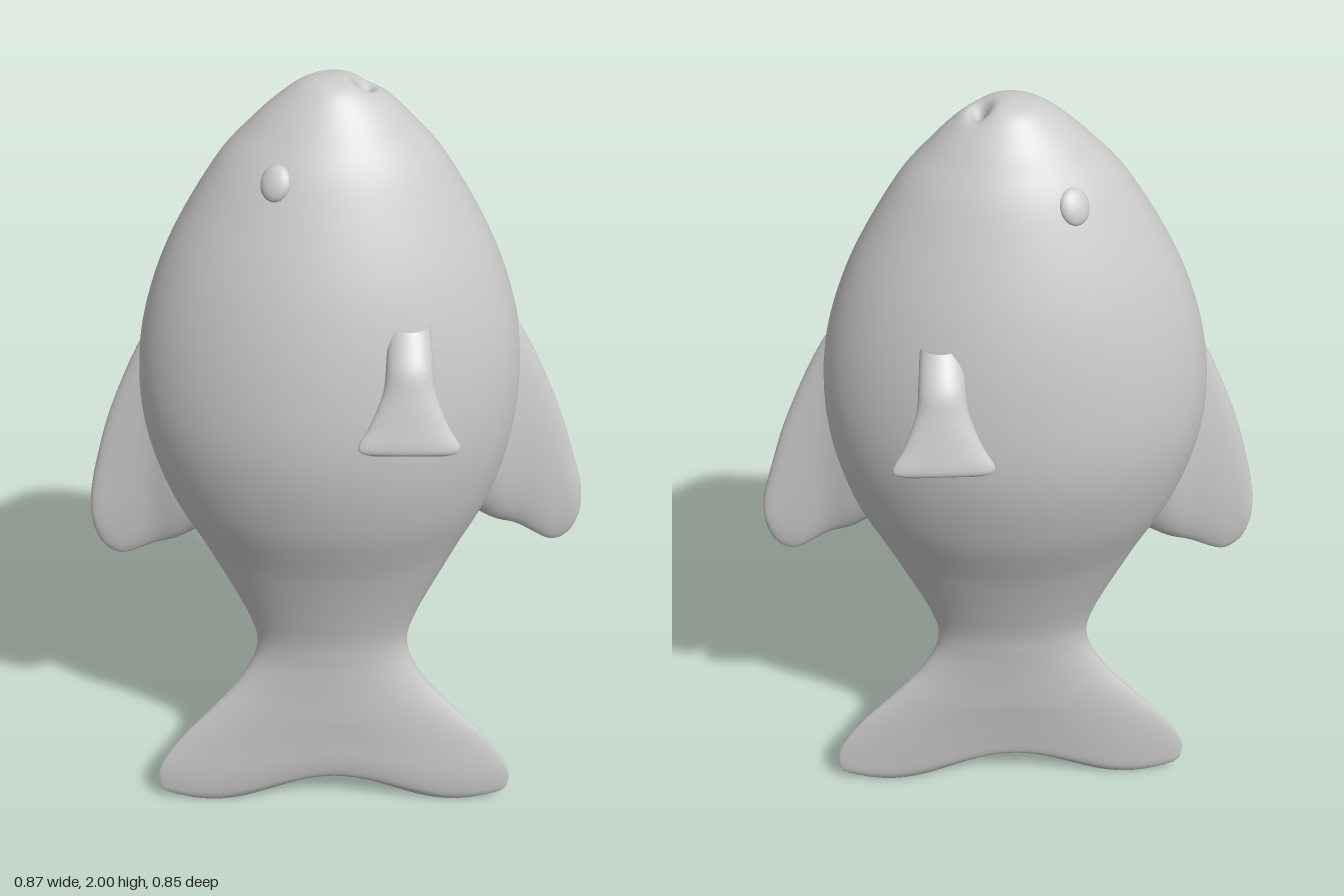
import * as THREE from 'three';
import { mergeVertices } from 'three/addons/utils/BufferGeometryUtils.js';

const material = new THREE.MeshStandardMaterial({ color: 0xcccccc, roughness: 0.7 });

// Catmull-Rom resampling of rows of numbers
function resample(rows, steps) {
  const out = [];
  const last = rows.length - 1;
  for (let i = 0; i <= steps; i++) {
    const f = (i / steps) * last;
    const k = Math.min(Math.floor(f), last - 1);
    const t = f - k;
    const [p0, p1, p2, p3] = [k - 1, k, k + 1, k + 2].map((n) => rows[Math.min(Math.max(n, 0), last)]);
    out.push(p1.map((v, c) => {
      const m1 = (p2[c] - p0[c]) / 2, m2 = (p3[c] - v) / 2, d = p2[c] - v;
      return v + t * (m1 + t * (3 * d - 2 * m1 - m2 + t * (m1 + m2 - 2 * d)));
    }));
  }
  return out;
}

// Smooth closed skin over resampled sections; place(row, cos, sin) gives each point
function loft(name, rows, steps, sides, place) {
  const positions = [], index = [];
  resample(rows, steps).forEach((row, i) => {
    for (let j = 0; j < sides; j++) {
      const angle = (j / sides) * Math.PI * 2;
      positions.push(...place(row, Math.cos(angle), Math.sin(angle)));
      if (i === steps) continue;
      const a = i * sides + j, b = i * sides + ((j + 1) % sides);
      index.push(a, b, a + sides, b, b + sides, a + sides);
    }
  });
  let geometry = new THREE.BufferGeometry();
  geometry.setAttribute('position', new THREE.Float32BufferAttribute(positions, 3));
  geometry.setIndex(index);
  geometry = mergeVertices(geometry, 1e-5);
  geometry.computeVertexNormals();
  const mesh = new THREE.Mesh(geometry, material);
  mesh.name = name;
  return mesh;
}

// Body and tail: height, half depth, half width, depth offset, width offset
const bodyRows = [
  [2.0, 0, 0, -0.01, -0.02],
  [1.99, 0.06, 0.055, -0.01, -0.02],
  [1.96, 0.11, 0.09, -0.01, -0.02],
  [1.9, 0.175, 0.135, -0.012, -0.02],
  [1.8, 0.26, 0.19, -0.015, -0.018],
  [1.6, 0.37, 0.262, -0.018, -0.014],
  [1.4, 0.43, 0.297, -0.02, -0.01],
  [1.2, 0.437, 0.298, -0.022, -0.006],
  [1.0, 0.39, 0.25, -0.02, 0],
  [0.8, 0.295, 0.165, -0.018, 0.006],
  [0.6, 0.205, 0.095, -0.018, 0.012],
  [0.5, 0.19, 0.075, -0.018, 0.014],
  [0.4, 0.235, 0.063, -0.018, 0.018],
  [0.3, 0.315, 0.053, -0.016, 0.022],
  [0.2, 0.395, 0.042, -0.015, 0.026],
  [0.1, 0.452, 0.032, -0.015, 0.03],
  [0.03, 0.458, 0.02, -0.015, 0.03],
  [0, 0.44, 0, -0.015, 0.03],
];

function bodyPoint([h, a, b, offX, offZ], c, s) {
  const x = offX + a * c;
  const z = offZ + b * s * (1 - 0.08 * c * c);
  let y = h;
  // notched trailing edge of the tail
  if (h < 0.3) {
    const edge = 0.04 + 0.04 * Math.cos((Math.PI * c) / 0.72);
    y = edge + (h / 0.3) * (0.3 - edge);
  }
  // small mouth hollow, wider than it is deep
  if (h > 1.85) y -= 0.035 * Math.exp(-(((x - 0.055) / 0.022) ** 2) - ((z + 0.028) / 0.032) ** 2);
  return [x, y, z];
}

// Upright fins: distance out, leading height, trailing height, half thickness
const dorsalRows = [
  [0.25, 1.5, 0.92, 0.12], [0.38, 1.46, 0.835, 0.075], [0.45, 1.38, 0.81, 0.045],
  [0.53, 1.2, 0.78, 0.028], [0.575, 1.05, 0.81, 0.02], [0.594, 0.96, 0.86, 0.012], [0.598, 0.91, 0.91, 0],
];
const ventralRows = [
  [0.25, 1.5, 0.97, 0.12], [0.36, 1.47, 0.89, 0.075], [0.43, 1.38, 0.865, 0.045],
  [0.51, 1.2, 0.82, 0.028], [0.555, 1.06, 0.84, 0.02], [0.577, 0.98, 0.89, 0.012], [0.581, 0.93, 0.93, 0],
];
const uprightFin = (name, rows, side) => loft(name, rows, 36, 40, ([d, top, bottom, t], c, s) =>
  [side * d, (top + bottom) / 2 + ((top - bottom) / 2) * c, side * t * s]);

// Paddle fins: height, distance out, half chord, half thickness
const paddleRows = [
  [1.53, 0.22, 0.045, 0.045], [1.47, 0.28, 0.05, 0.038], [1.41, 0.312, 0.057, 0.026],
  [1.34, 0.335, 0.085, 0.02], [1.3, 0.347, 0.109, 0.016], [1.283, 0.352, 0.105, 0.01], [1.275, 0.354, 0.075, 0],
];

export function createModel() {
  const fish = new THREE.Group();
  fish.name = 'fish';
  fish.add(loft('body', bodyRows, 170, 96, bodyPoint));
  fish.add(uprightFin('dorsalFin', dorsalRows, -1), uprightFin('ventralFin', ventralRows, 1));

  for (const side of [-1, 1]) {
    const label = side > 0 ? 'right' : 'left';
    fish.add(loft(label + 'PectoralFin', paddleRows, 30, 32, ([y, out, chord, t], c, s) =>
      [0.15 + chord * c, y, -0.008 + side * out + t * s]));

    // Eyes: flattened beads lying on the head
    const eye = new THREE.Mesh(new THREE.SphereGeometry(1, 24, 16), material);
    eye.name = label + 'Eye';
    eye.scale.set(0.034, 0.04, 0.017);
    eye.position.set(-0.134, 1.82, -0.018 + side * 0.152);
    eye.lookAt(eye.position.clone().add(new THREE.Vector3(-0.38, 0.45, side * 0.8)));
    fish.add(eye);
  }

  // The fish stands turned an eighth of a circle
  fish.rotation.y = -Math.PI / 4;
  const model = new THREE.Group();
  model.name = 'model';
  model.add(fish);
  return model;
}
